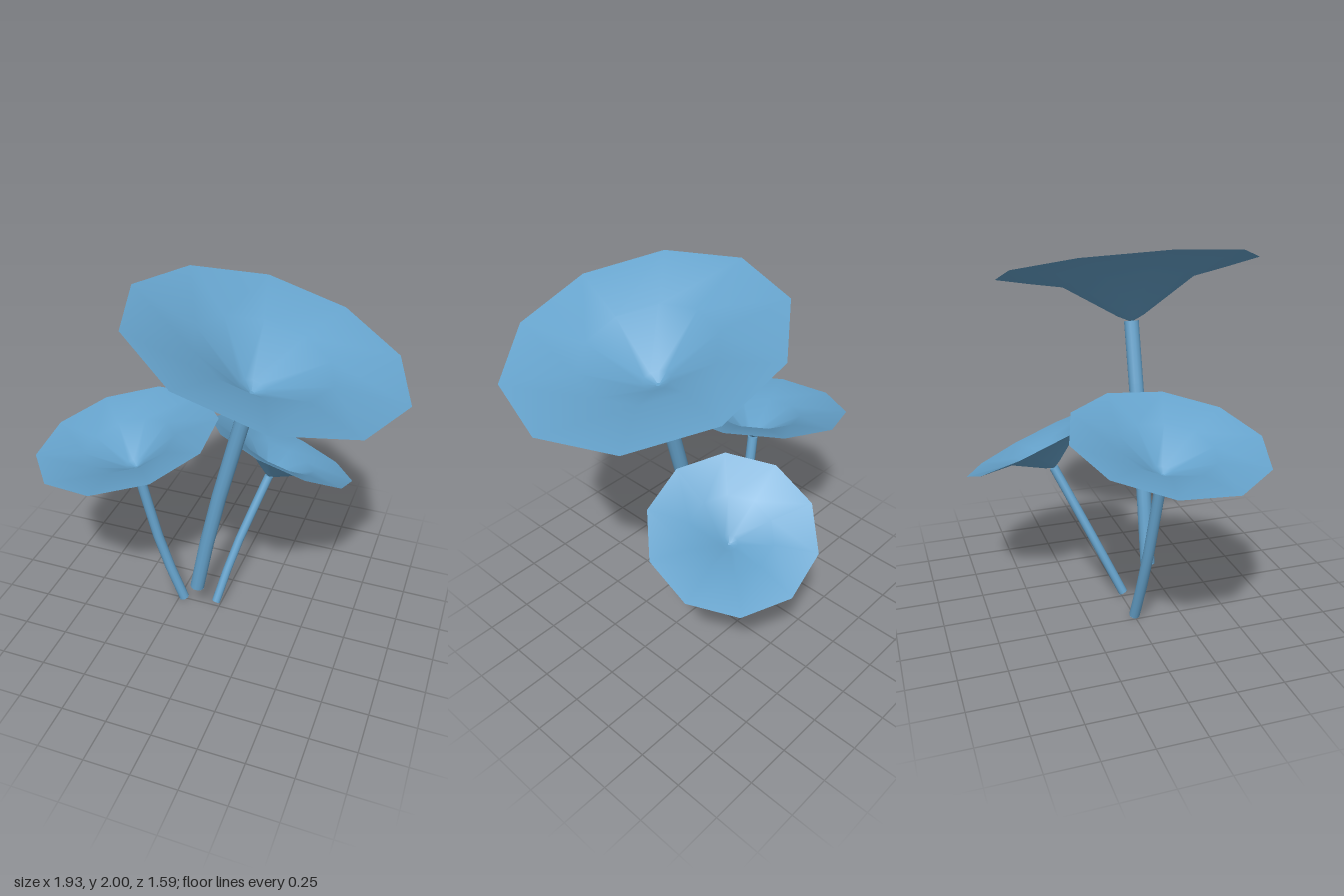
import * as THREE from 'three';

const material = new THREE.MeshStandardMaterial({ color: 0x66a3cc, side: THREE.DoubleSide });
const vec = (p) => new THREE.Vector3(...p);

// Funnel profile for a cap of radius 1 with its rim at y = 0
const TIP_DEPTH = 0.4;
const PROFILE = [[0, -TIP_DEPTH], [0.1, -0.352], [0.5, -0.096], [1, 0]]
  .map(([r, y]) => new THREE.Vector2(r, y));

// center: middle of the rim, up: cap axis, corner: direction of one rim corner
const MUSHROOMS = [
  { name: 'tallMushroom', center: [0.285, 1.805, 0.12], up: [0.278, 0.961, 0], corner: [1, -0.289, 0],
    radius: 0.705, base: [-0.087, 0.238, 0.12], bend: [0.005, 0.72, 0.12] },
  { name: 'leftMushroom', center: [-0.495, 1.118, 0.078], up: [-0.203, 0.975, 0.095], corner: [0.025, -0.043, 0.498],
    radius: 0.503, base: [-0.22, 0.012, 0], bend: [-0.335, 0.36, 0.022] },
  { name: 'backMushroom', center: [0.23, 0.915, -0.395], up: [0.293, 0.882, -0.367], corner: [0.26, -0.205, -0.285],
    radius: 0.437, base: [-0.018, 0.04, 0], bend: [0.047, 0.336, -0.135] },
];

function makeCap({ center, up, corner, radius }) {
  const cap = new THREE.Mesh(new THREE.LatheGeometry(PROFILE, 10), material);
  cap.name = 'cap';
  const y = vec(up).normalize();
  const x = new THREE.Vector3().crossVectors(y, vec(corner)).normalize();
  const z = new THREE.Vector3().crossVectors(x, y);
  cap.quaternion.setFromRotationMatrix(new THREE.Matrix4().makeBasis(x, y, z));
  cap.scale.setScalar(radius);
  cap.position.copy(vec(center));
  return cap;
}

function makeStem({ center, up, radius, base, bend }) {
  const tip = vec(center).addScaledVector(vec(up).normalize(), -TIP_DEPTH * radius * 0.98);
  const curve = new THREE.CatmullRomCurve3([vec(base), vec(bend), tip]);
  const thickness = radius * 0.057;
  const stem = new THREE.Group();
  stem.name = 'stem';

  const shaft = new THREE.Mesh(new THREE.TubeGeometry(curve, 4, thickness, 12), material);
  shaft.name = 'stemShaft';
  stem.add(shaft);

  // Discs closing both ends
  for (const [t, sign, name] of [[0, -1, 'stemFoot'], [1, 1, 'stemTop']]) {
    const disc = new THREE.Mesh(new THREE.CircleGeometry(thickness, 12), material);
    disc.name = name;
    disc.position.copy(curve.getPointAt(t));
    disc.quaternion.setFromUnitVectors(new THREE.Vector3(0, 0, 1), curve.getTangentAt(t).multiplyScalar(sign));
    stem.add(disc);
  }
  return stem;
}

export function createModel() {
  const model = new THREE.Group();
  model.name = 'mushroomCluster';
  for (const spec of MUSHROOMS) {
    const mushroom = new THREE.Group();
    mushroom.name = spec.name;
    mushroom.add(makeCap(spec), makeStem(spec));
    model.add(mushroom);
  }
  return model;
}
